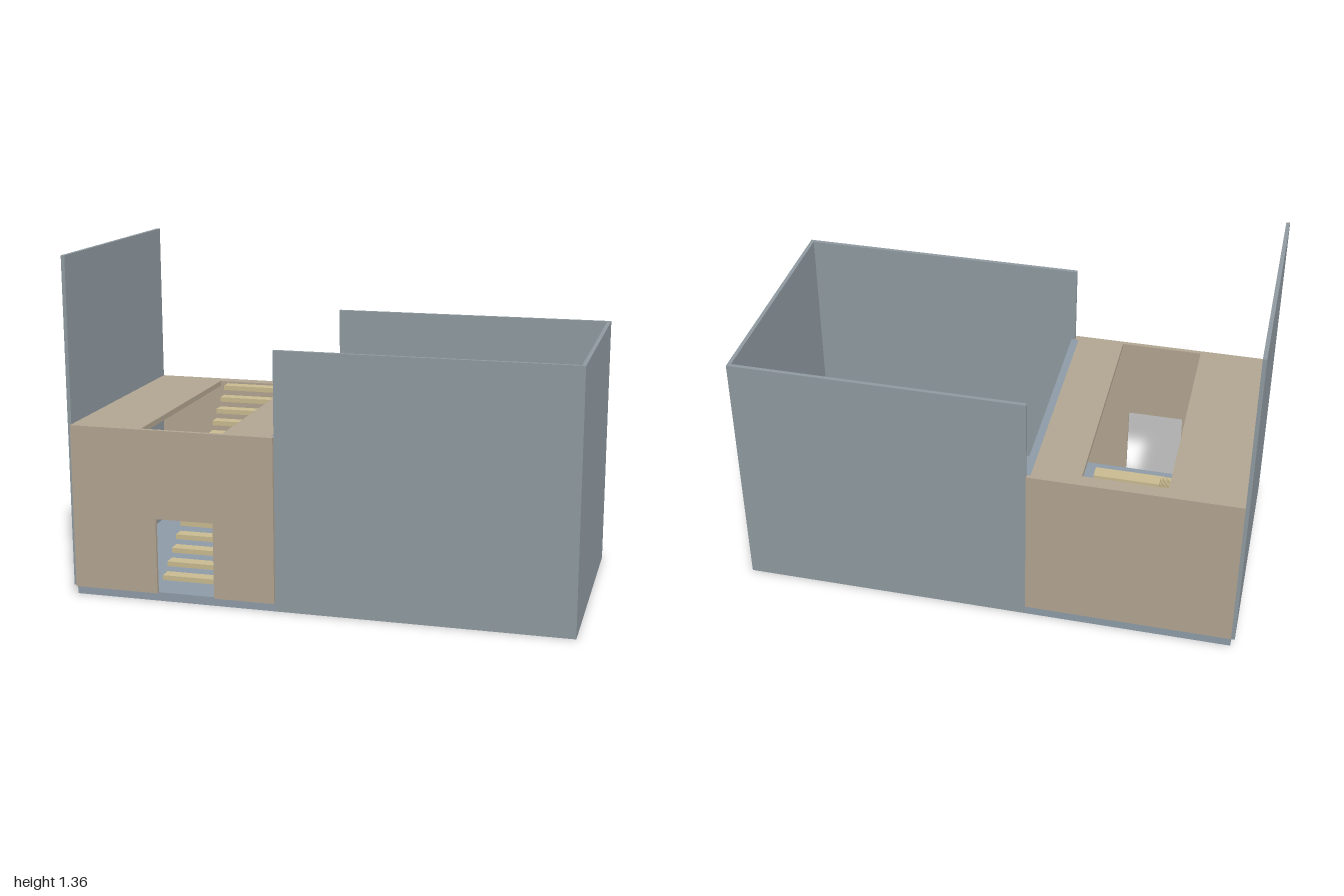
import * as THREE from 'three';

const T = 0.015;      // wall thickness
const FLOOR = 0.035;  // floor height
const DECK = 0.695;   // deck height

export function createModel() {
  const model = new THREE.Group();
  model.name = 'buildingSection';

  const material = (name, color) => {
    const m = new THREE.MeshStandardMaterial({ color });
    m.name = name;
    return m;
  };
  const grey = material('wallGrey', 0x8e999f);
  const blueGrey = material('floorBlueGrey', 0x8d9ba6);
  const tan = material('panelTan', 0xb1a491);
  const wood = material('stairWood', 0xc8ba8f);

  const add = (name, geometry, mat, parent = model) => {
    const mesh = new THREE.Mesh(geometry, mat);
    mesh.name = name;
    parent.add(mesh);
    return mesh;
  };
  // box given by its limits on each axis
  const box = (name, mat, x0, x1, y0, y1, z0, z1, parent) =>
    add(name, new THREE.BoxGeometry(x1 - x0, y1 - y0, z1 - z0), mat, parent)
      .position.set((x0 + x1) / 2, (y0 + y1) / 2, (z0 + z1) / 2);
  const outline = (pts) => pts.map(([x, y]) => new THREE.Vector2(x, y));
  const extrude = (shape, depth) =>
    new THREE.ExtrudeGeometry(shape, { depth, bevelEnabled: false });

  // floors
  box('stairHallFloor', blueGrey, -0.985, -0.16, 0, FLOOR, -0.5, 0.485);
  box('roomFloor', grey, -0.16, 1 - T, 0, FLOOR, -0.485, 0.47);

  // open-topped room
  box('roomFrontWall', grey, -0.16, 1, 0, 1.027, 0.47, 0.485);
  box('roomBackWall', grey, -0.16, 1, 0, 1.027, -0.5, -0.485);
  box('roomSideWall', grey, 1 - T, 1, 0, 1.027, -0.485, 0.47);
  box('partition', blueGrey, -0.175, -0.145, FLOOR, DECK, -0.485, 0.47);

  // tall outer wall
  box('tallSideWall', grey, -1, -0.985, FLOOR, 1.355, -0.5, 0.485);

  // front panel with doorway
  const front = new THREE.Shape(outline([
    [-0.985, FLOOR], [-0.64, FLOOR], [-0.64, 0.34], [-0.405, 0.34],
    [-0.405, FLOOR], [-0.16, FLOOR], [-0.16, DECK], [-0.985, DECK],
  ]));
  add('frontPanel', extrude(front, T), tan).position.z = 0.485;
  box('backPanel', tan, -0.985, -0.16, FLOOR, DECK, -0.5, -0.485);

  // deck with stair opening, drawn as (x, -z) and laid flat
  const deck = new THREE.Shape(outline([
    [-0.985, -0.485], [-0.16, -0.485], [-0.16, -0.47],
    [-0.175, -0.47], [-0.175, 0.485], [-0.985, 0.485],
    [-0.985, -0.485],
  ]));
  deck.holes.push(new THREE.Path(outline([
    [-0.695, -0.482], [-0.695, 0.445], [-0.365, 0.445], [-0.365, -0.482],
  ])));
  const deckMesh = add('deck', extrude(deck, 0.022), tan);
  deckMesh.rotation.x = -Math.PI / 2;
  deckMesh.position.y = DECK - 0.022;

  // open treads climbing to the back
  const stairs = new THREE.Group();
  stairs.name = 'stairs';
  model.add(stairs);
  const count = 16, run = 0.825 / count, rise = 0.041;
  for (let i = 0; i < count; i++) {
    const top = FLOOR + rise * (i + 1), z = 0.4 - run * i;
    box('tread' + (i + 1), wood, -0.655, -0.405, top - 0.02, top, z - run, z, stairs);
  }

  return model;
}
